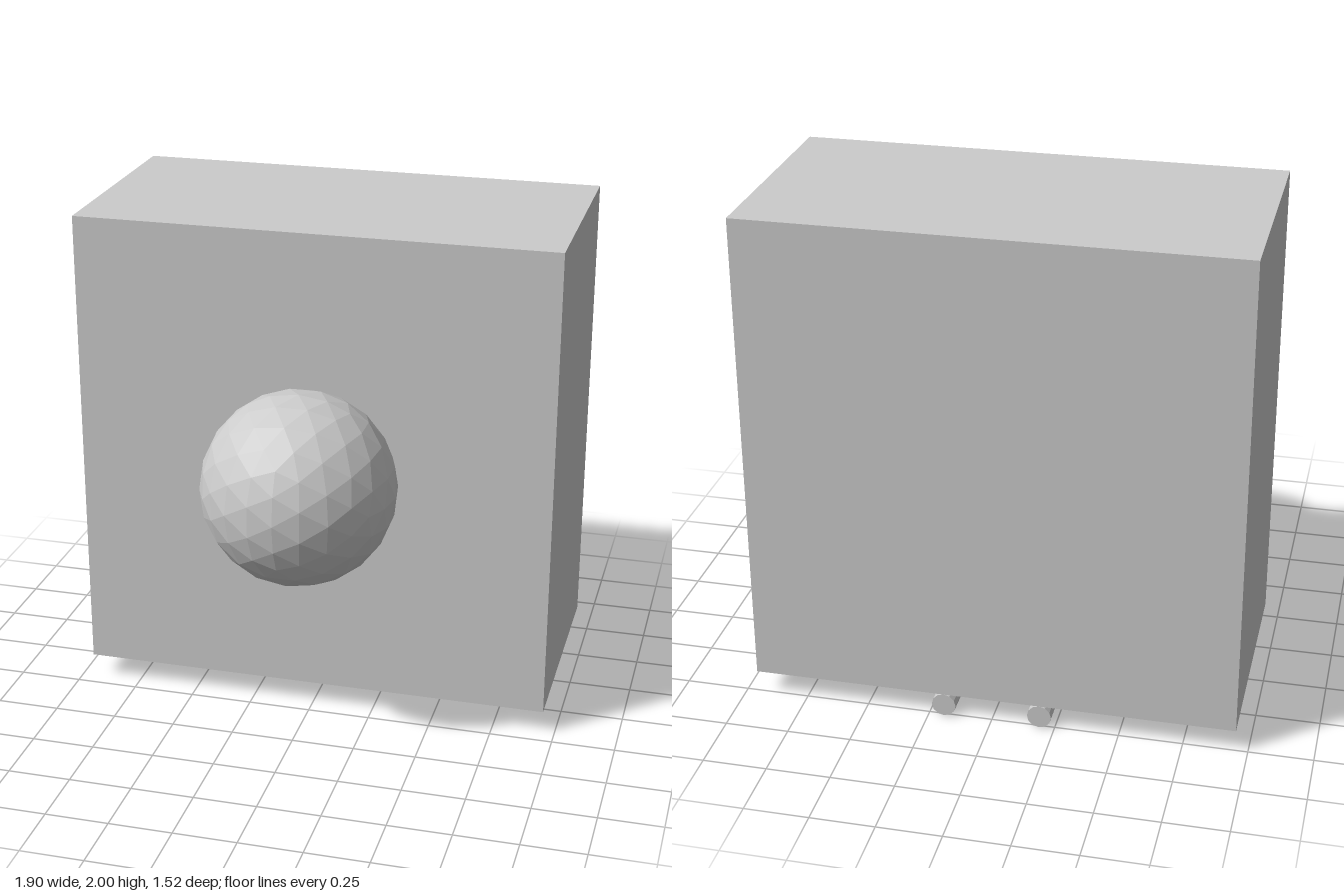
import * as THREE from 'three';

export function createModel() {
  const model = new THREE.Group();
  const material = new THREE.MeshStandardMaterial({ color: 0xcccccc, flatShading: true });

  function add(name, geometry, x, y, z) {
    const mesh = new THREE.Mesh(geometry, material);
    mesh.name = name;
    mesh.position.set(x, y, z);
    model.add(mesh);
    return mesh;
  }

  // Large block with a faceted ball set into its front
  add('body', new THREE.BoxGeometry(1.905, 1.905, 0.952), 0, 1.0475, -0.286);
  add('frontBall', new THREE.IcosahedronGeometry(0.381, 3), 0, 1.0475, 0.381);

  // Cross bar under the block
  add('crossBar', new THREE.BoxGeometry(0.571, 0.064, 0.095), 0, 0.064, -0.19);

  // Two horizontal rods running from behind the bar to the back
  for (const [name, side] of [['leftRod', 1], ['rightRod', -1]]) {
    const rod = add(name, new THREE.CylinderGeometry(0.0476, 0.0476, 0.476, 12), side * 0.19, 0.0476, -0.524);
    rod.rotation.x = Math.PI / 2;
  }

  return model;
}
